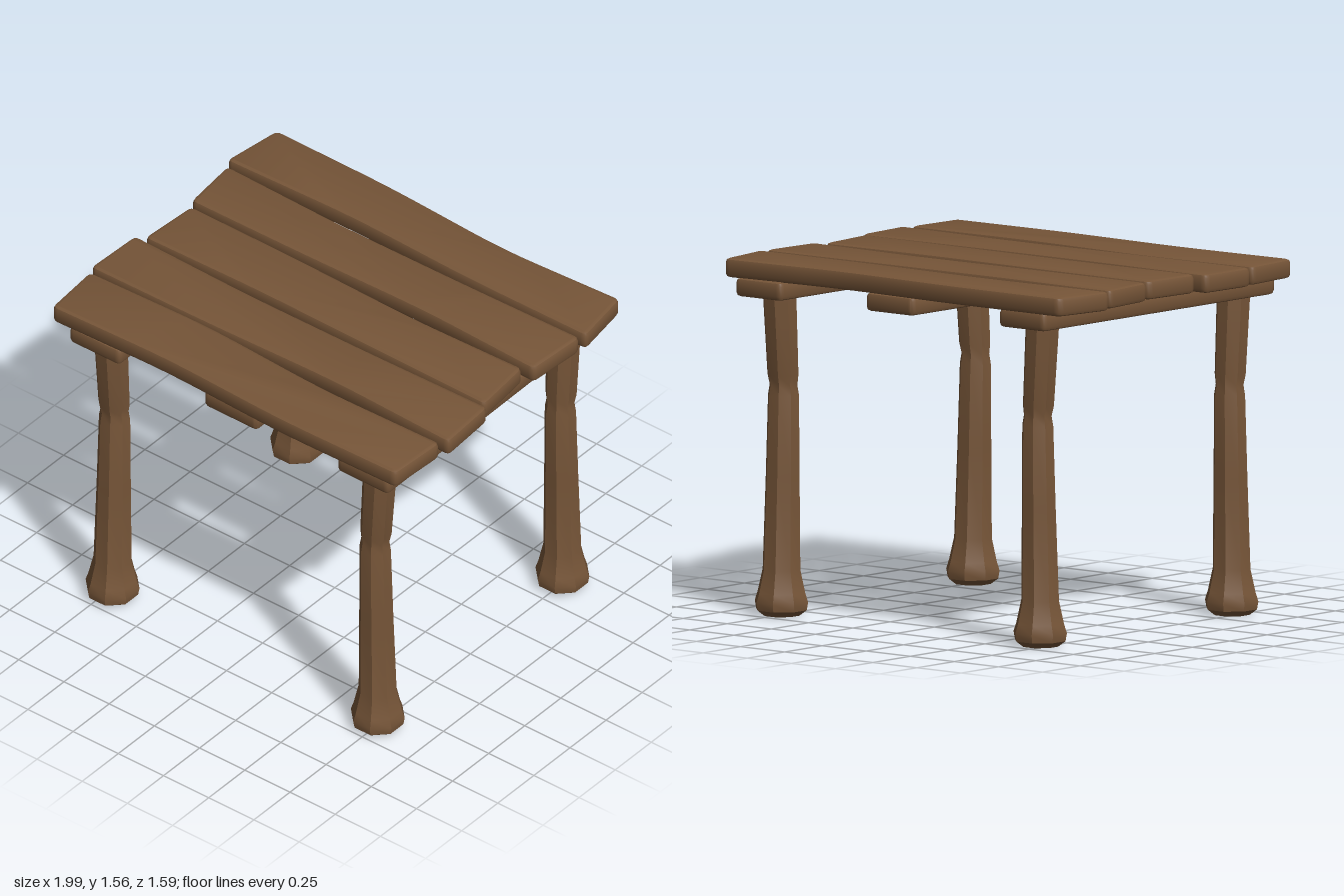
import * as THREE from 'three';
import { toCreasedNormals } from 'three/addons/utils/BufferGeometryUtils.js';

const wood = new THREE.MeshStandardMaterial({ color: 0x765538 });
wood.name = 'brown wood';

// Closed outline of [x, z, cornerRadius] points with softened corners
function roundedOutline(points) {
  const pts = points.map(([x, z]) => new THREE.Vector2(x, -z));
  const n = pts.length;
  const shape = new THREE.Shape();
  pts.forEach((p, i) => {
    const toward = (q) => p.clone().add(q.clone().sub(p).setLength(points[i][2]));
    const a = toward(pts[(i + n - 1) % n]);
    const b = toward(pts[(i + 1) % n]);
    if (i === 0) shape.moveTo(a.x, a.y);
    else shape.lineTo(a.x, a.y);
    shape.quadraticCurveTo(p.x, p.y, b.x, b.y);
  });
  shape.closePath();
  return shape;
}

// Horizontal board with bevelled edges between two heights
function board(name, outline, bottom, top) {
  const bevel = 0.018;
  const geometry = new THREE.ExtrudeGeometry(roundedOutline(outline), {
    depth: top - bottom - 2 * bevel,
    bevelThickness: bevel,
    bevelSize: bevel,
    bevelOffset: -bevel,
    bevelSegments: 2,
    curveSegments: 4,
  });
  geometry.rotateX(-Math.PI / 2);
  geometry.translate(0, bottom + bevel, 0);
  const mesh = new THREE.Mesh(toCreasedNormals(geometry, 0.7), wood);
  mesh.name = name;
  return mesh;
}

// Eight-sided leg with a flared foot, a nick at the bend and a top leaning to +x
function legGeometry() {
  const profile = [
    [0, 0], [0.075, 0], [0.106, 0.025], [0.112, 0.06], [0.1, 0.1], [0.079, 0.2],
    [0.071, 0.6], [0.065, 0.96], [0.058, 1.005], [0.065, 1.05], [0.07, 1.4], [0, 1.4],
  ];
  const geometry = new THREE.LatheGeometry(
    profile.map(([r, y]) => new THREE.Vector2(r / Math.cos(Math.PI / 8), y)), 8, Math.PI / 8);
  const pos = geometry.attributes.position;
  for (let i = 0; i < pos.count; i++) {
    const y = pos.getY(i);
    const lean = y < 1.005
      ? -0.014 * THREE.MathUtils.smoothstep(y, 0.1, 1)
      : -0.014 + 0.026 * Math.min(1, (y - 1.005) / 0.3);
    pos.setX(i, pos.getX(i) + lean);
  }
  return toCreasedNormals(geometry, 0.6);
}

export function createModel() {
  const table = new THREE.Group();
  table.name = 'rustic table';

  // Top planks: x of back and front corners, then z along the back and front edges
  const planks = [
    { back: [-0.96, 0.945], front: [-1, 0.99], zBack: [-0.8, -0.797, -0.76, -0.795], zFront: [-0.5, -0.522, -0.497, -0.5] },
    { back: [-0.97, 0.98], front: [-0.94, 0.96], zBack: [-0.47, -0.453, -0.46, -0.475], zFront: [-0.18, -0.185, -0.2, -0.175] },
    { back: [-0.915, 0.92], front: [-0.935, 0.95], zBack: [-0.15, -0.148, -0.132, -0.15], zFront: [0.148, 0.136, 0.145, 0.152] },
    { back: [-0.975, 0.975], front: [-0.987, 0.995], zBack: [0.163, 0.18, 0.175, 0.16], zFront: [0.458, 0.452, 0.433, 0.458] },
    { back: [-0.968, 0.972], front: [-0.943, 0.956], zBack: [0.485, 0.463, 0.5, 0.485], zFront: [0.782, 0.762, 0.79, 0.778] },
  ];
  for (const { back, front, zBack, zFront } of planks) {
    const edge = (ends, z) => [
      [ends[0], z[0], 0.03], [-0.33, z[1], 0.18], [0.33, z[2], 0.18], [ends[1], z[3], 0.03],
    ];
    const outline = [...edge(back, zBack), ...edge(front, zFront).reverse()];
    table.add(board('topPlank', outline, 1.473, 1.556));
  }

  // Cross battens under the planks: back and front x ranges, back and front z
  const battens = [
    [-0.85, -0.59, -0.858, -0.577, -0.77, 0.77],
    [-0.105, 0.165, -0.12, 0.175, -0.77, 0.76],
    [0.625, 0.885, 0.615, 0.9, -0.792, 0.76],
  ];
  for (const [b0, b1, f0, f1, zb, zf] of battens) {
    const outline = [[b0, zb, 0.025], [b1, zb, 0.025], [f1, zf, 0.025], [f0, zf, 0.025]];
    table.add(board('crossBatten', outline, 1.395, 1.475));
  }

  // Four legs, each a quarter turn from the next
  const leg = legGeometry();
  const corners = [[0.747, 0.638], [0.747, -0.641], [-0.72, -0.641], [-0.72, 0.638]];
  corners.forEach(([x, z], i) => {
    const mesh = new THREE.Mesh(leg, wood);
    mesh.name = 'leg';
    mesh.position.set(x, 0, z);
    mesh.rotation.y = i * Math.PI / 2;
    table.add(mesh);
  });

  return table;
}
